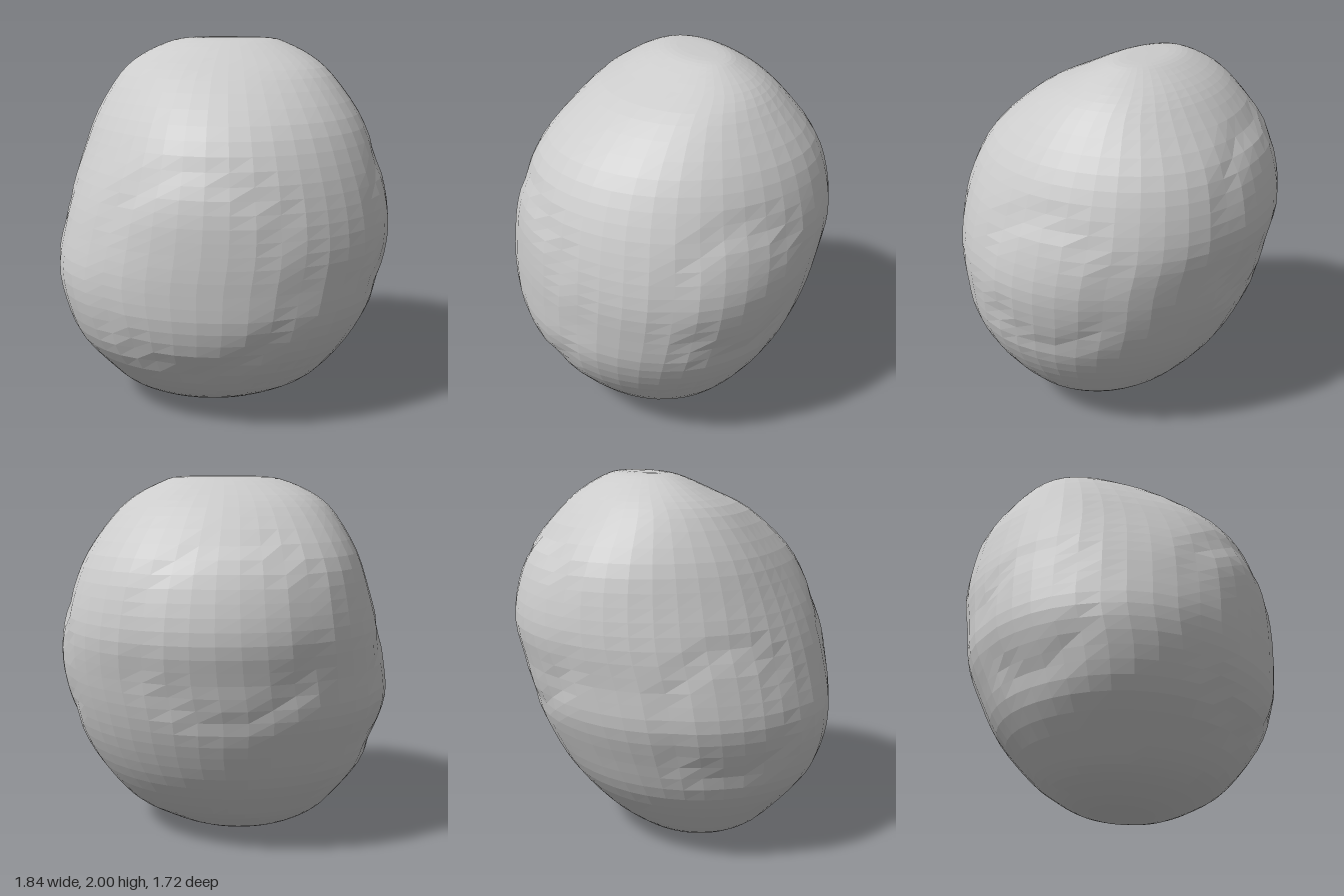
import * as THREE from 'three';

// Cross-sections from bottom to top: y, right x, left x, back z, front z
const SECTIONS = [
  [0.00, -0.06, -0.04, 0.07, 0.09],
  [0.005, -0.25, 0.08, -0.04, 0.20],
  [0.03, -0.39, 0.24, -0.16, 0.33],
  [0.10, -0.54, 0.41, -0.28, 0.48],
  [0.20, -0.64, 0.57, -0.41, 0.61],
  [0.40, -0.79, 0.73, -0.58, 0.77],
  [0.60, -0.86, 0.83, -0.69, 0.84],
  [0.80, -0.91, 0.88, -0.77, 0.85],
  [1.00, -0.89, 0.91, -0.81, 0.85],
  [1.20, -0.85, 0.89, -0.85, 0.84],
  [1.40, -0.79, 0.83, -0.82, 0.79],
  [1.60, -0.72, 0.74, -0.74, 0.67],
  [1.80, -0.60, 0.59, -0.58, 0.43],
  [1.90, -0.49, 0.47, -0.47, 0.22],
  [1.97, -0.34, 0.33, -0.35, 0.06],
  [1.995, -0.22, 0.24, -0.27, -0.03],
  [2.00, -0.05, 0.05, -0.17, -0.13],
];

// Rounded side pads: centre and radius of the shallow groove round each
const PADS = [
  [-0.05, 0.87, 0.85, 0.52],
  [-0.04, 1.25, -0.85, 0.46],
  [0.91, 1.02, 0.00, 0.36],
  [-0.91, 0.86, 0.00, 0.34],
].map(([x, y, z, r]) => ({ centre: new THREE.Vector3(x, y, z), r }));

// Swollen or flattened shoulders: angle from the front, height, swell
const SHOULDERS = [
  [-0.98, 0.60, 0.045],
  [1.15, 0.85, 0.030],
  [-0.45, 0.85, 0.025],
  [0.45, 0.85, 0.025],
  [-0.80, 1.65, -0.085],
  [-2.40, 1.60, 0.065],
  [2.36, 1.60, 0.045],
];

const ROWS = 48;
const COLS = 44;

function sectionCurve(a, b) {
  const points = SECTIONS.map((s) => new THREE.Vector3(s[a], s[0], s[b]));
  return new THREE.CatmullRomCurve3(points, false, 'catmullrom', 0.5);
}

function boulderGeometry() {
  const across = sectionCurve(1, 2);
  const deep = sectionCurve(3, 4);
  const core = new THREE.Vector3(0, 1, 0);
  const positions = [];
  const indices = [];

  for (let i = 0; i <= ROWS; i++) {
    const w = across.getPoint(i / ROWS);
    const d = deep.getPoint(i / ROWS);
    // The end rows close to a point
    const open = i === 0 || i === ROWS ? 0 : 1;
    for (let j = 0; j < COLS; j++) {
      const a = (j / COLS) * Math.PI * 2;
      // Swell of the shoulders
      let swell = open;
      for (const [angle, height, size] of SHOULDERS) {
        const round = Math.max(0, Math.cos(a - angle)) ** 8;
        swell += open * size * round * Math.exp(-(((w.y - height) / 0.38) ** 2));
      }
      const p = new THREE.Vector3(
        (w.x + w.z) / 2 + (swell * Math.sin(a) * (w.z - w.x)) / 2,
        THREE.MathUtils.clamp(w.y, 0, 2),
        (d.x + d.z) / 2 + (swell * Math.cos(a) * (d.z - d.x)) / 2
      );
      // Shallow groove round every side pad
      let dent = 0;
      for (const { centre, r } of PADS) {
        const off = (p.distanceTo(centre) - r) / 0.06;
        dent = Math.max(dent, Math.exp(-off * off));
      }
      p.addScaledVector(p.clone().sub(core).normalize(), -0.012 * dent);
      positions.push(p.x, p.y, p.z);
    }
  }

  // Quads between rows; the first and last rows are triangle fans
  for (let i = 0; i < ROWS; i++) {
    for (let j = 0; j < COLS; j++) {
      const a = i * COLS + j;
      const b = i * COLS + ((j + 1) % COLS);
      const c = b + COLS;
      const e = a + COLS;
      if (i > 0) indices.push(a, b, i < ROWS - 1 ? c : e);
      if (i < ROWS - 1) indices.push(a, c, e);
    }
  }

  const geometry = new THREE.BufferGeometry();
  geometry.setAttribute('position', new THREE.Float32BufferAttribute(positions, 3));
  geometry.setIndex(indices);
  geometry.computeVertexNormals();
  return geometry;
}

export function createModel() {
  const group = new THREE.Group();
  group.name = 'boulder';
  const stone = new THREE.Mesh(
    boulderGeometry(),
    new THREE.MeshStandardMaterial({ color: 0xcccccc, flatShading: true })
  );
  stone.name = 'stone';
  group.add(stone);
  return group;
}
